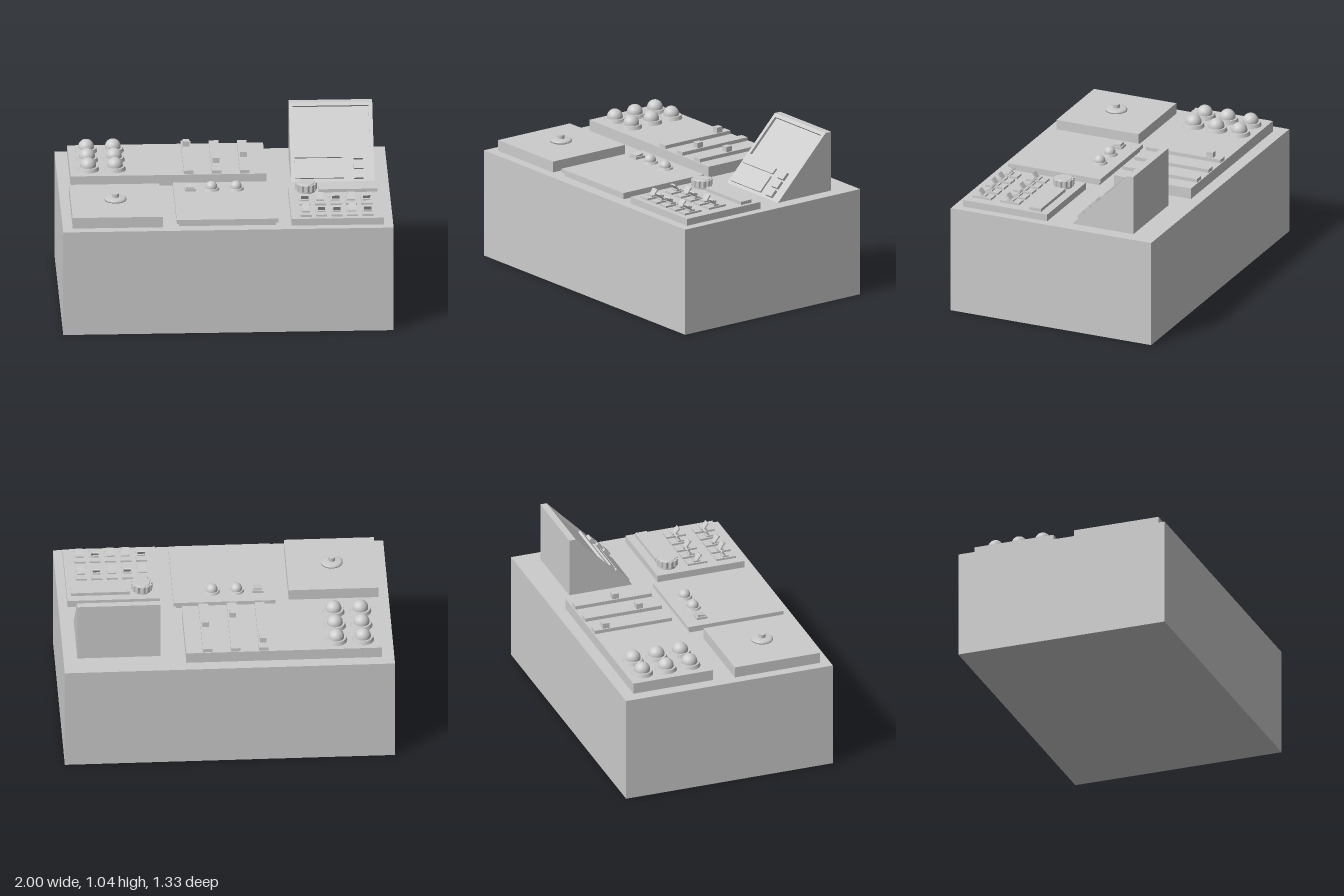
import * as THREE from 'three';

const mat = new THREE.MeshStandardMaterial({ color: 0xcccccc });

function add(parent, name, geo, x = 0, y = 0, z = 0) {
  const m = new THREE.Mesh(geo, mat);
  m.name = name;
  m.position.set(x, y, z);
  parent.add(m);
  return m;
}

// Box given by its extents
function slab(parent, name, x0, x1, y0, y1, z0, z1) {
  return add(parent, name, new THREE.BoxGeometry(x1 - x0, y1 - y0, z1 - z0),
    (x0 + x1) / 2, (y0 + y1) / 2, (z0 + z1) / 2);
}

// Dome light on a bevelled collar
function domeLight(parent, name, x, y, z, ringR, domeR, ringH, lift) {
  const g = new THREE.Group();
  g.name = name;
  g.position.set(x, y, z);
  add(g, 'collar', new THREE.CylinderGeometry(ringR * 0.9, ringR, ringH, 32), 0, ringH / 2, 0);
  add(g, 'bulb', new THREE.SphereGeometry(domeR, 32, 12, 0, Math.PI * 2, 0, Math.PI / 2), 0, lift, 0);
  add(g, 'bulbBase', new THREE.CylinderGeometry(domeR, domeR, lift, 32, 1, true), 0, lift / 2, 0);
  parent.add(g);
}

// Side outline given as [z, y], extruded across x0..x1
function sideExtrude(parent, name, pts, x0, x1) {
  const shape = new THREE.Shape(pts.map(([z, y]) => new THREE.Vector2(-z, y)));
  const geo = new THREE.ExtrudeGeometry(shape, { depth: x1 - x0, bevelEnabled: false });
  geo.rotateY(Math.PI / 2);
  return add(parent, name, geo, x0, 0, 0);
}

export function createModel() {
  const root = new THREE.Group();
  root.name = 'controlConsole';
  const top = 0.667;
  slab(root, 'cabinet', -1, 1, 0, top, -0.667, 0.667);

  // Rear panel with lights and sliders
  const rear = new THREE.Group();
  rear.name = 'sliderPanel';
  root.add(rear);
  slab(rear, 'rearPlate', -0.925, 0.26, top, 0.735, -0.592, -0.08);
  for (const x of [-0.815, -0.653])
    for (const z of [-0.495, -0.342, -0.19])
      domeLight(rear, 'light', x, 0.735, z, 0.067, 0.048, 0.022, 0.028);
  [[-0.21, -0.51], [-0.04, -0.23], [0.13, -0.322]].forEach(([x, z]) => {
    slab(rear, 'sliderTrack', x - 0.029, x + 0.029, 0.735, 0.757, -0.585, -0.09);
    slab(rear, 'sliderKnob', x - 0.02, x + 0.02, 0.757, 0.79, z - 0.021, z + 0.021);
  });

  // Front panel with one round push knob
  const push = new THREE.Group();
  push.name = 'pushKnobPanel';
  root.add(push);
  slab(push, 'pushPlate', -0.94, -0.395, top, 0.735, 0.057, 0.605);
  const disc = [[0.045, 0], [0.05, 0.008], [0.066, 0.009], [0.066, 0.018], [0.055, 0.026], [0, 0.028]]
    .map(([r, y]) => new THREE.Vector2(r, y));
  add(push, 'pushDisc', new THREE.LatheGeometry(disc, 40), -0.67, 0.735, 0.332);
  add(push, 'pushButton', new THREE.CylinderGeometry(0.021, 0.021, 0.03, 24), -0.67, 0.77, 0.332);

  // Centre pad on a narrower foot
  const pad = new THREE.Group();
  pad.name = 'centrePad';
  root.add(pad);
  slab(pad, 'padFoot', -0.295, 0.29, top, 0.69, 0.003, 0.592);
  slab(pad, 'padTop', -0.31, 0.305, 0.688, 0.712, -0.01, 0.605);
  slab(pad, 'squareButtonBase', -0.242, -0.176, 0.712, 0.727, 0.072, 0.138);
  const cap = add(pad, 'squareButton', new THREE.BoxGeometry(0.05, 0.016, 0.05), -0.209, 0.73, 0.105);
  cap.rotation.x = 0.15;
  for (const x of [-0.08, 0.068])
    domeLight(pad, 'smallLight', x, 0.712, 0.105, 0.048, 0.035, 0.012, 0.017);

  // Switch panel: dial, label strip and rows of toggles
  const sw = new THREE.Group();
  sw.name = 'switchPanel';
  root.add(sw);
  slab(sw, 'switchPlate', 0.385, 0.945, top, 0.71, 0.05, 0.61);
  slab(sw, 'labelStrip', 0.565, 0.922, 0.71, 0.73, 0.102, 0.18);
  const teeth = 24;
  const gear = new THREE.Shape();
  for (let i = 0; i < teeth * 2; i++) {
    const a = (i * Math.PI) / teeth;
    const r = i % 4 < 2 ? 0.066 : 0.058;
    gear[i ? 'lineTo' : 'moveTo'](r * Math.cos(a), r * Math.sin(a));
  }
  const dial = new THREE.ExtrudeGeometry(gear, { depth: 0.04, bevelEnabled: false });
  dial.rotateX(-Math.PI / 2);
  add(sw, 'dialGrip', dial, 0.49, 0.722, 0.15);
  add(sw, 'dialStem', new THREE.CylinderGeometry(0.055, 0.055, 0.02, 32), 0.49, 0.718, 0.15);
  add(sw, 'dialCap', new THREE.CylinderGeometry(0.048, 0.052, 0.006, 32), 0.49, 0.763, 0.15);

  const tilts = [[1, -1, 1, -1, 1], [-1, 1, 1, -1, 1]];
  [0.33, 0.515].forEach((z, row) => {
    for (let i = 0; i < 5; i++) {
      const x = 0.475 + i * 0.0935;
      const t = tilts[row][i];
      slab(sw, 'toggleBase', x - 0.033, x + 0.033, 0.71, 0.722, z - 0.063, z + 0.063);
      slab(sw, 'toggleCollar', x - 0.024, x + 0.024, 0.722, 0.731, z - 0.02, z + 0.02);
      const lever = add(sw, 'toggleLever', new THREE.BoxGeometry(0.044, 0.042, 0.009),
        x, 0.744, z + t * 0.013);
      lever.rotation.x = t * 0.65;
    }
  });

  // Monitor: a wedge with a sunken screen between two cheeks
  const mon = new THREE.Group();
  mon.name = 'monitor';
  root.add(mon);
  const foot = new THREE.Vector2(-0.105, top);
  const brow = new THREE.Vector2(-0.468, 1.04);
  const len = foot.distanceTo(brow);
  const dir = brow.clone().sub(foot).normalize();
  const at = (s, sunk) => [foot.x + dir.x * s - dir.y * sunk, foot.y + dir.y * s + dir.x * sunk];
  const back = [[-0.51, 1.04], [-0.51, top]];
  const full = [at(0, 0), at(len, 0), ...back];
  const notched = [at(0, 0), at(0.225, 0), at(0.225, 0.016), at(0.498, 0.016), at(0.498, 0),
    at(len, 0), ...back];
  sideExtrude(mon, 'monitorCheek', full, 0.411, 0.434);
  sideExtrude(mon, 'monitorScreen', notched, 0.434, 0.893);
  sideExtrude(mon, 'monitorCheek', full, 0.893, 0.916);

  // Raised bars and keys on the slope below the screen
  const slope = new THREE.Group();
  slope.name = 'monitorControls';
  slope.position.set(0, foot.y, foot.x);
  slope.rotation.x = -Math.atan2(-dir.x, dir.y);
  mon.add(slope);
  slab(slope, 'statusBar', 0.436, 0.73, 0.155, 0.195, -0.01, 0.011);
  slab(slope, 'readoutPanel', 0.436, 0.73, 0.02, 0.138, -0.01, 0.011);
  for (let i = 0; i < 3; i++)
    slab(slope, 'monitorKey', 0.792, 0.85, 0.015 + i * 0.064, 0.065 + i * 0.064, -0.01, 0.018);

  return root;
}
